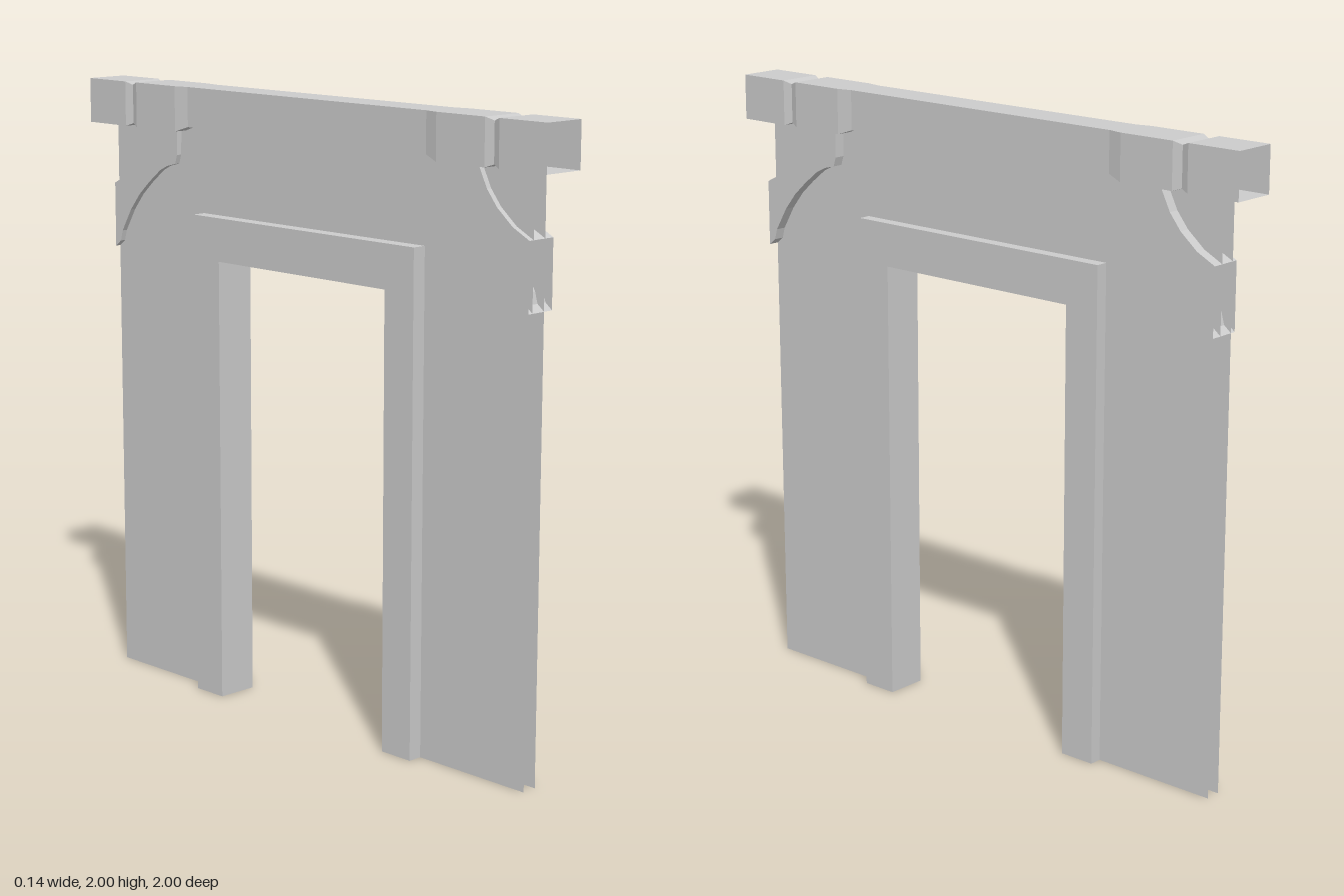
import * as THREE from 'three';

const material = new THREE.MeshStandardMaterial({ color: 0xcccccc, side: THREE.DoubleSide, flatShading: true });

function addMesh(parent, name, geometry) {
  const mesh = new THREE.Mesh(geometry, material);
  mesh.name = name;
  parent.add(mesh);
  return mesh;
}

// Quad skin between consecutive cross-sections (each a list of [x, y, z])
function skin(sections, closed) {
  const n = sections[0].length;
  const index = [];
  for (let i = 0; i < sections.length - 1; i++) {
    for (let j = 0; j < (closed ? n : n - 1); j++) {
      const a = i * n + j, b = i * n + (j + 1) % n;
      index.push(a, b, a + n, b, b + n, a + n);
    }
  }
  const geometry = new THREE.BufferGeometry();
  geometry.setAttribute('position', new THREE.Float32BufferAttribute(sections.flat(2), 3));
  geometry.setIndex(index);
  const flat = geometry.toNonIndexed();
  flat.computeVertexNormals();
  return flat;
}

// Flat sheet from a [z, y] outline, standing at the given x and facing outward
function sheet(outline, x) {
  const side = x < 0 ? -1 : 1;
  const points = outline.map(([z, y]) => new THREE.Vector2(-side * z, y));
  const geometry = new THREE.ShapeGeometry(new THREE.Shape(points));
  return geometry.rotateY(side * Math.PI / 2).translate(x, 0, 0);
}

// Ribbon across the thickness, following a [z, y] path
function ribbon(path, x0, x1) {
  return skin(path.map(([z, y]) => [[x0, y, z], [x1, y, z]]), false);
}

// Doorway-shaped path: up one side, across, down the other
const arch = (halfWidth, top) => [[-halfWidth, 0], [-halfWidth, top], [halfWidth, top], [halfWidth, 0]];

export function createModel() {
  const model = new THREE.Group();

  // Wall: two thin sheets, open at the ends
  const wall = new THREE.Group();
  wall.name = 'wall';
  model.add(wall);
  const wallOutline = [...arch(0.915, 1.87), ...arch(0.44, 1.54).reverse()];
  for (const x of [-0.025, 0.025]) addMesh(wall, 'wallPanel', sheet(wallOutline, x));

  // Door frame: hollow casing, open at the floor
  const frame = new THREE.Group();
  frame.name = 'doorFrame';
  model.add(frame);
  const [f0, f1] = [-0.072, 0.065];
  const outer = arch(0.49, 1.595), inner = arch(0.37, 1.455);
  for (const x of [f0, f1]) addMesh(frame, 'frameFace', sheet([...outer, ...[...inner].reverse()], x));
  addMesh(frame, 'frameOuterEdge', ribbon(outer, f0, f1));
  addMesh(frame, 'doorReveal', ribbon(inner, f0, f1));

  // Lintel beam: open square tube with a groove near each end and a slimmer middle
  // [z, half width, bottom, top]
  const half = [
    [1, 0.072, 1.855, 2], [0.82, 0.072, 1.855, 2], [0.793, 0.062, 1.865, 1.99],
    [0.765, 0.072, 1.855, 2], [0.575, 0.072, 1.855, 2], [0.525, 0.061, 1.872, 2],
  ];
  const stations = [...half, ...half.map(([z, ...rest]) => [-z, ...rest]).reverse()];
  const sections = stations.map(([z, w, low, high]) => [[-w, low, z], [w, low, z], [w, high, z], [-w, high, z]]);
  addMesh(model, 'beam', skin(sections, true));

  // Curved brackets under the beam, hollow and open toward the wall end
  const lower = [
    [0.915, 1.445], [0.89, 1.465], [0.88, 1.5], [0.835, 1.575], [0.79, 1.63], [0.74, 1.675],
    [0.685, 1.718], [0.65, 1.735], [0.61, 1.745], [0.6, 1.775], [0.598, 1.86],
  ];
  const upper = [[0.915, 1.657], [0.85, 1.69], [0.79, 1.74], [0.75, 1.79], [0.715, 1.86]];
  const [b0, b1] = [-0.043, 0.06];
  for (const [name, s] of [['frontBracket', 1], ['backBracket', -1]]) {
    const bracket = new THREE.Group();
    bracket.name = name;
    model.add(bracket);
    const place = path => path.map(([z, y]) => [s * z, y]);
    const low = place(lower), up = place(upper);
    for (const x of [b0, b1]) addMesh(bracket, 'bracketSide', sheet([...low, ...[...up].reverse()], x));
    addMesh(bracket, 'bracketUnderside', ribbon(low, b0, b1));
    addMesh(bracket, 'bracketTopCurve', ribbon(up, b0, b1));
  }

  return model;
}
